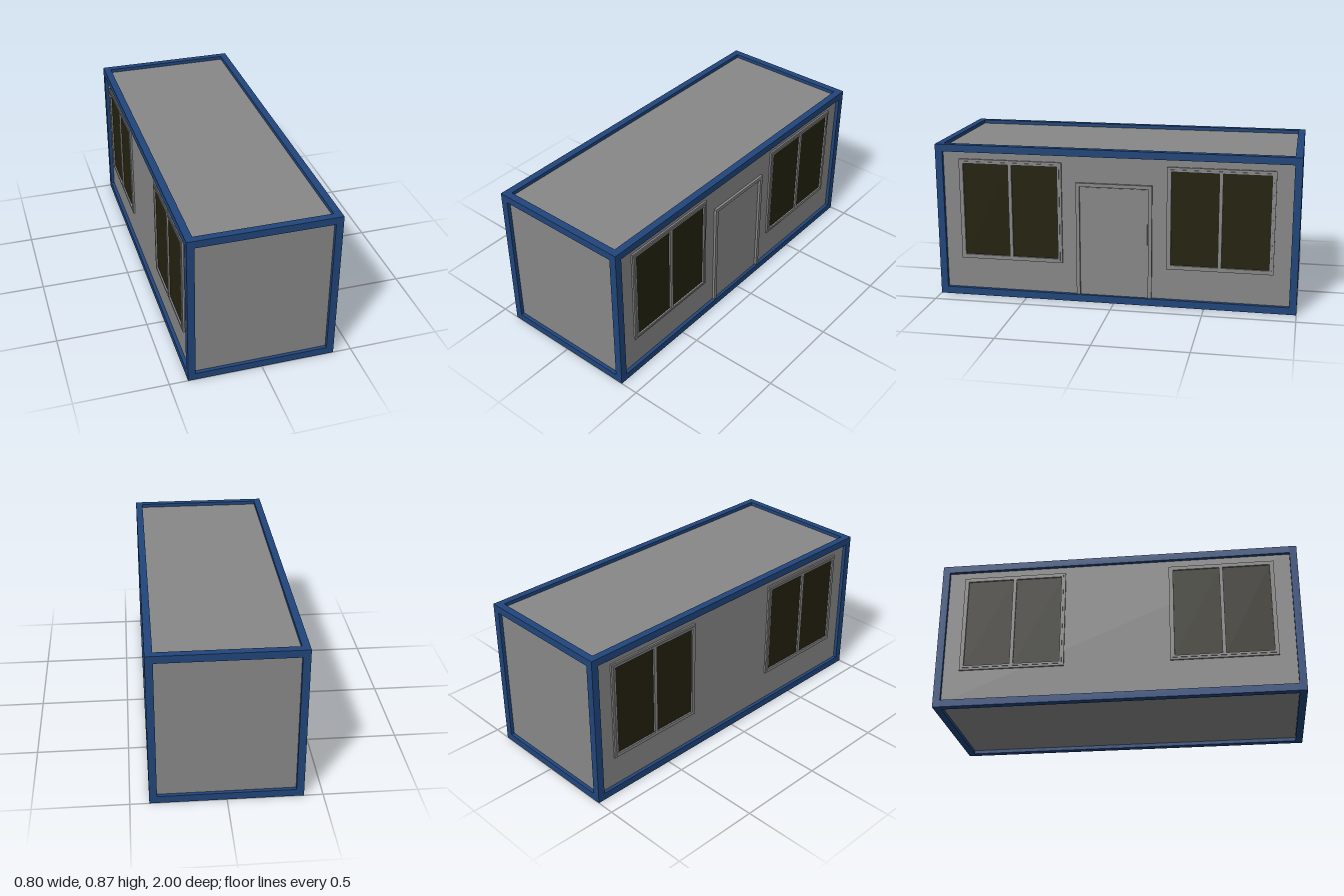
import * as THREE from 'three';

const W = 0.8, H = 0.865, L = 2, T = 0.04; // overall size and frame bar thickness
const WALL = 0.38; // x of the side wall surfaces

const material = (name, color) => {
  const m = new THREE.MeshStandardMaterial({ color });
  m.name = name;
  return m;
};

export function createModel() {
  const blue = material('blue frame paint', 0x20457a);
  const grey = material('grey panel', 0x878787);
  const glass = material('dark glass', 0x24220e);

  const group = (name, parent) => {
    const g = new THREE.Group();
    g.name = name;
    parent.add(g);
    return g;
  };
  const box = (parent, name, mat, size, pos) => {
    const m = new THREE.Mesh(new THREE.BoxGeometry(...size), mat);
    m.name = name;
    m.position.set(...pos);
    parent.add(m);
    return m;
  };
  // Flat border lying in the z/y plane, from x = WALL outwards
  const border = (parent, name, z0, z1, y0, y1, width, depth, openBottom = false) => {
    const g = group(name, parent);
    const x = WALL + depth / 2, zc = (z0 + z1) / 2, yc = (y0 + y1) / 2;
    for (const z of [z0 + width / 2, z1 - width / 2])
      box(g, 'upright', grey, [depth, y1 - y0, width], [x, yc, z]);
    const rails = openBottom ? [y1 - width / 2] : [y0 + width / 2, y1 - width / 2];
    for (const y of rails)
      box(g, 'rail', grey, [depth, width, z1 - z0 - 2 * width], [x, y, zc]);
  };

  const model = new THREE.Group();
  model.name = 'containerCabin';

  // Recessed panels: walls, roof and floor in one body
  box(model, 'wallsRoofFloor', grey, [2 * WALL, H - 0.04, L - 0.04], [0, H / 2, 0]);

  // Bars along all twelve edges
  const frame = group('frame', model);
  for (const a of [-1, 1]) for (const b of [-1, 1]) {
    const x = a * (W - T) / 2, z = b * (L - T) / 2, y = H / 2 + a * (H - T) / 2;
    box(frame, 'cornerPost', blue, [T, H, T], [x, H / 2, z]);
    box(frame, 'endRail', blue, [W - 2 * T, T, T], [0, y, z]);
    box(frame, 'sideRail', blue, [T, T, L - 2 * T], [b * (W - T) / 2, y, 0]);
  }

  // Two-pane windows on both long sides
  const makeWindow = (parent, zc) => {
    const g = group('window', parent);
    g.position.z = zc;
    border(g, 'outerTrim', -0.29, 0.29, 0.215, 0.785, 0.012, 0.01);
    border(g, 'sash', -0.278, 0.278, 0.227, 0.773, 0.012, 0.014);
    box(g, 'mullion', grey, [0.014, 0.522, 0.02], [WALL + 0.007, 0.5, 0]);
    for (const s of [-1, 1])
      box(g, 'pane', glass, [0.005, 0.522, 0.256], [WALL + 0.0025, 0.5, s * 0.138]);
  };
  for (const s of [-1, 1]) {
    const side = group(s > 0 ? 'leftSide' : 'rightSide', model);
    if (s < 0) side.rotation.y = Math.PI;
    for (const z of [-0.58, 0.58]) makeWindow(side, z);
    // Door on one side only
    if (s > 0) {
      const door = group('door', side);
      border(door, 'doorFrame', -0.21, 0.21, T, 0.678, 0.02, 0.014, true);
      box(door, 'doorLeaf', grey, [0.004, 0.614, 0.368], [WALL + 0.002, T + 0.307, 0]);
    }
  }
  return model;
}
